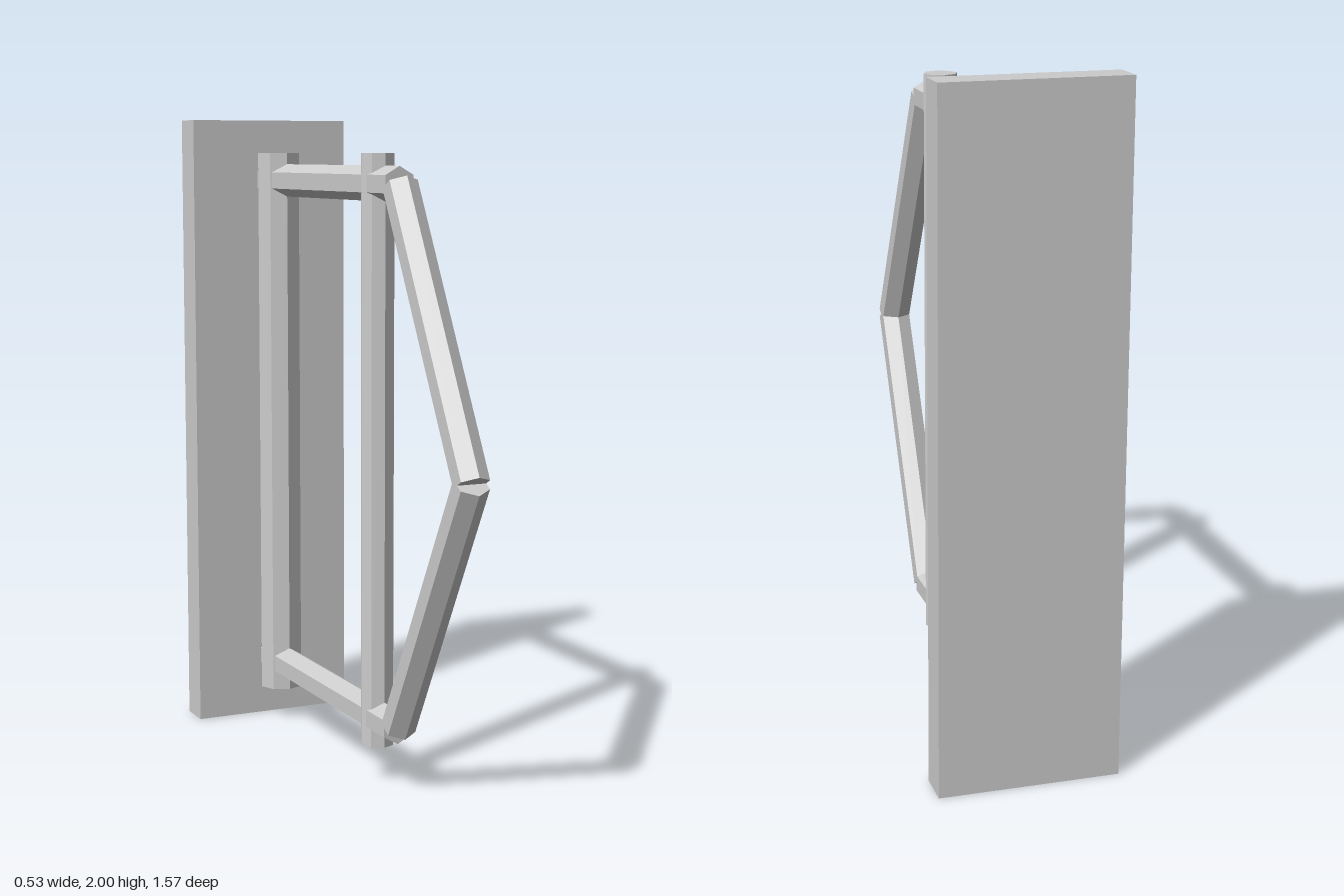
import * as THREE from 'three';

const material = new THREE.MeshStandardMaterial({ color: 0xcccccc, flatShading: true });

// Straight prism between two (y, z) points in the x = 0 plane, one edge kept in that plane
function rod(name, radius, sides, [y0, z0], [y1, z1]) {
  const dy = y1 - y0, dz = z1 - z0;
  const mesh = new THREE.Mesh(
    new THREE.CylinderGeometry(radius, radius, Math.hypot(dy, dz), sides), material);
  mesh.name = name;
  mesh.position.set(0, (y0 + y1) / 2, (z0 + z1) / 2);
  mesh.rotation.x = Math.atan2(dz, dy);
  return mesh;
}

export function createModel() {
  const group = new THREE.Group();
  group.name = 'doorHandle';

  // Flat mounting plate at the back
  const plate = new THREE.Mesh(new THREE.BoxGeometry(0.534, 2, 0.108), material);
  plate.name = 'backPlate';
  plate.position.set(0, 1, -0.731);
  group.add(plate);

  // Eight-sided upright posts
  group.add(rod('rearPost', 0.0715, 8, [0.11, -0.604], [1.895, -0.604]));
  group.add(rod('frontPost', 0.052, 8, [0.11, 0.146], [1.895, 0.146]));

  // Six-sided crossbars and the angled bars that meet at the front, mirrored top and bottom
  const middle = 1.003;
  for (const [side, s] of [['upper', 1], ['lower', -1]]) {
    const y = middle + s * 0.804;
    group.add(rod(side + 'Crossbar', 0.052, 6, [y, -0.685], [y, 0.29]));
    group.add(rod(side + 'AngledBar', 0.052, 6, [y, 0.294], [middle, 0.739]));
  }
  return group;
}
